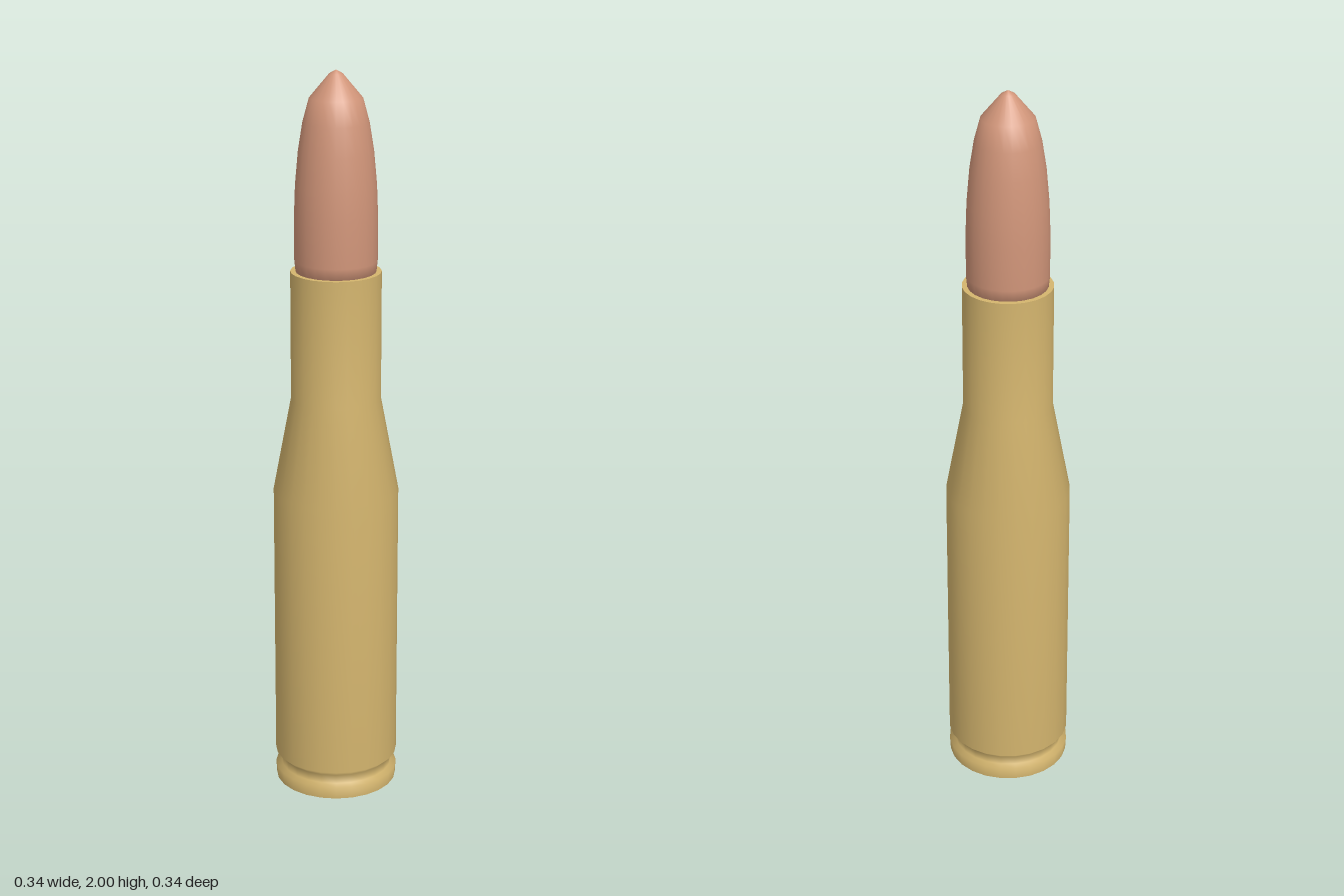
import * as THREE from 'three';

const SIDES = 24;

// Smooth solid of revolution from [radius, height] pairs, listed bottom to top
function turned(name, profile, material) {
  const points = profile.map(([r, y]) => new THREE.Vector2(r, y));
  const mesh = new THREE.Mesh(new THREE.LatheGeometry(points, SIDES), material);
  mesh.name = name;
  return mesh;
}

export function createModel() {
  const brass = new THREE.MeshStandardMaterial({ name: 'brass', color: 0xd4b56e });
  const copper = new THREE.MeshStandardMaterial({ name: 'copper', color: 0xd2967a });

  const group = new THREE.Group();
  group.name = 'cartridge';

  group.add(
    // Flat base of the case
    turned('caseBase', [[0, 0], [0.168, 0]], brass),
    // Rim, extractor groove, body, shoulder and neck
    turned('case', [
      [0.168, 0], [0.17, 0.035], [0.154, 0.04], [0.154, 0.065], [0.17, 0.08],
      [0.17, 0.86], [0.121, 1.12], [0.121, 1.47],
    ], brass),
    // Flat lip around the mouth of the neck
    turned('caseMouth', [[0.121, 1.47], [0.1, 1.47]], brass),
    // Pointed bullet with a curved nose
    turned('bullet', [
      [0, 1.45], [0.105, 1.45], [0.11, 1.5], [0.11, 1.62], [0.107, 1.7],
      [0.099, 1.79], [0.087, 1.865], [0.07, 1.928], [0.018, 1.99], [0, 2],
    ], copper),
  );
  return group;
}
